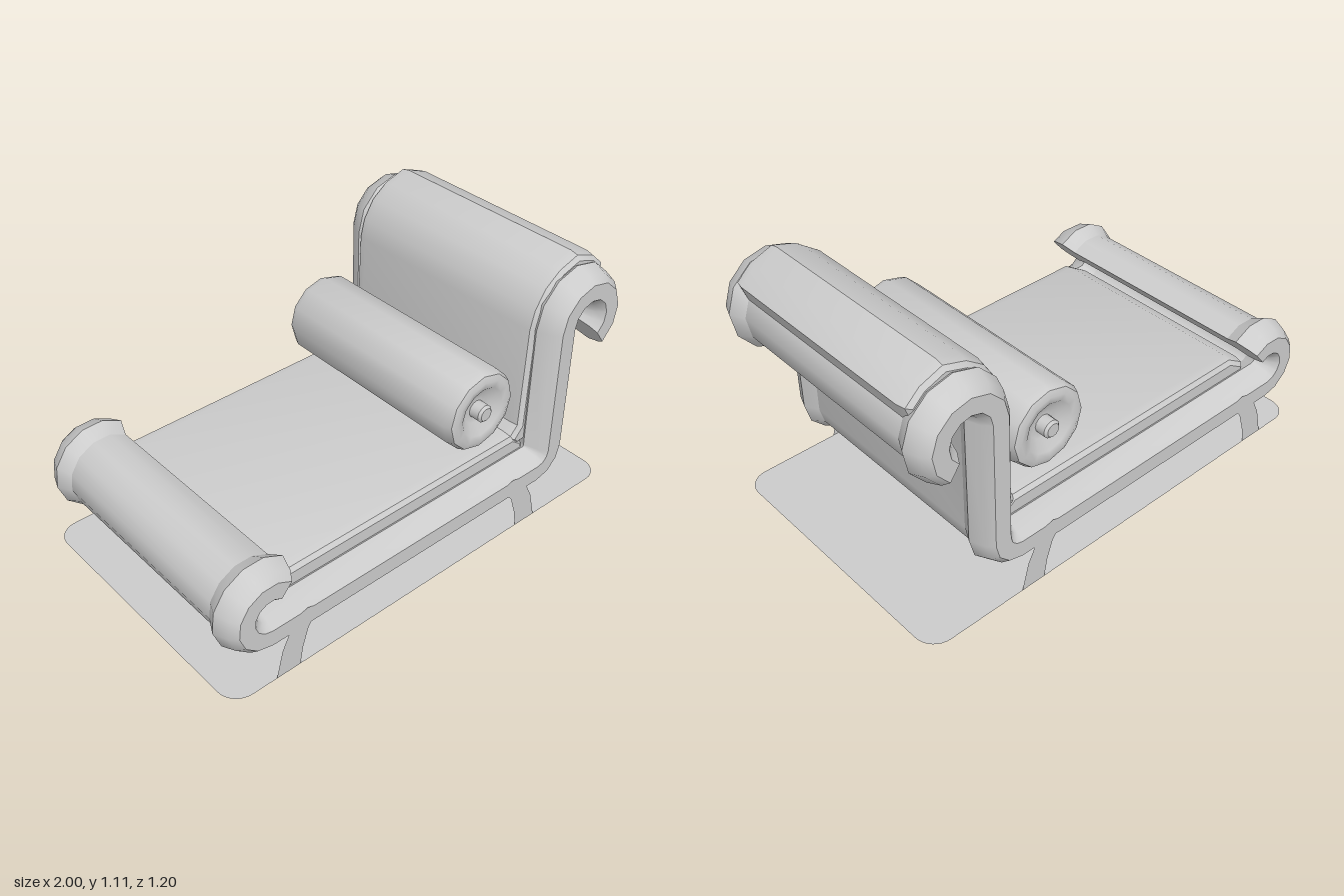
import * as THREE from 'three';
import { toCreasedNormals } from 'three/addons/utils/BufferGeometryUtils.js';

const grey = new THREE.MeshStandardMaterial({ color: 0xcccccc });
const thin = new THREE.MeshStandardMaterial({ color: 0xcccccc, side: THREE.DoubleSide });

// Points on an arc, each with the normal to the left of travel
function arc(cx, cy, r, from, to, steps) {
  const s = Math.sign(to - from), out = [];
  for (let i = 0; i <= steps; i++) {
    const a = THREE.MathUtils.degToRad(from + (to - from) * i / steps);
    const c = Math.cos(a), d = Math.sin(a);
    out.push({ x: cx + r * c, y: cy + r * d, nx: -s * c, ny: -s * d });
  }
  return out;
}

// Sweep a closed section of [offset, z] points along a path in the xy plane
function sweep(path, section) {
  const pos = [], idx = [], n = section.length, last = (path.length - 1) * n;
  for (const p of path)
    for (const [o, z] of section) pos.push(p.x + p.nx * o, p.y + p.ny * o, z);
  for (let j = 0; j < path.length - 1; j++)
    for (let i = 0; i < n; i++) {
      const a = j * n + i, b = j * n + (i + 1) % n;
      idx.push(a, b, a + n, b, b + n, a + n);
    }
  for (let i = 1; i < n - 1; i++) {
    idx.push(0, i + 1, i);
    idx.push(last, last + i, last + i + 1);
  }
  const g = new THREE.BufferGeometry();
  g.setAttribute('position', new THREE.Float32BufferAttribute(pos, 3));
  g.setIndex(idx);
  return toCreasedNormals(g, 0.62);
}

const toShape = (pts) => new THREE.Shape(pts.map(([x, y]) => new THREE.Vector2(x, y)));

// Cushion outline extruded across the width, with soft edges
function cushion(pts) {
  const g = new THREE.ExtrudeGeometry(toShape(pts), {
    depth: 0.9, bevelThickness: 0.05, bevelSize: 0.025, bevelOffset: -0.025, bevelSegments: 2,
  });
  g.translate(0, 0, -0.45);
  return toCreasedNormals(g, 0.6);
}

export function createModel() {
  const group = new THREE.Group();
  const add = (name, geometry, material = grey) => {
    const mesh = new THREE.Mesh(geometry, material);
    mesh.name = name;
    group.add(mesh);
    return mesh;
  };

  // Foot scroll, seat, corner, back and head scroll in one line
  const path = [
    ...arc(-0.81, 0.325, 0.108, 50, 270, 8),
    ...arc(0.565, 0.307, 0.09, -90, 0, 3),
    ...arc(0.785, 0.86, 0.128, 180, -55, 8),
  ];

  // Faceted side rails
  const rail = [
    [0.035, 0.6], [-0.035, 0.6], [-0.062, 0.57], [-0.085, 0.51],
    [-0.05, 0.445], [0.05, 0.445], [0.085, 0.51], [0.062, 0.57],
  ];
  add('frontRail', sweep(path, rail));
  add('backRail', sweep(path, rail.map(([o, z]) => [o, -z]).reverse()));

  // Upholstered panel between the rails
  add('framePanel', sweep(path, [[0.053, -0.47], [0.053, 0.47], [-0.053, 0.47], [-0.053, -0.47]]));

  // Seat cushion
  add('seatCushion', cushion([
    [-0.78, 0.24], [0.6, 0.24], [0.58, 0.33], [0.52, 0.375], [-0.69, 0.375], [-0.78, 0.32],
  ]));

  // Back cushion, folded over the head scroll
  add('backCushion', cushion([
    [0.49, 0.355], [0.54, 0.41], [0.555, 0.86], [0.575, 0.94], [0.625, 1.02], [0.7, 1.075],
    [0.8, 1.107], [0.9, 1.07], [0.965, 1.01], [0.94, 0.94], [0.87, 0.97], [0.785, 0.99],
    [0.7, 0.96], [0.655, 0.88], [0.65, 0.32], [0.53, 0.31],
  ]));

  // Bolster with dished ends and buttons
  const half = [
    [0.178, 0.45], [0.165, 0.48], [0.14, 0.49], [0.11, 0.485], [0.065, 0.45],
    [0.038, 0.45], [0.038, 0.495], [0.028, 0.505], [0, 0.505],
  ];
  const profile = [...half.map(([r, y]) => [r, -y]).reverse(), ...half]
    .map(([r, y]) => new THREE.Vector2(r, y));
  const bolster = add('bolster', toCreasedNormals(new THREE.LatheGeometry(profile, 12), 0.7));
  bolster.rotation.x = Math.PI / 2;
  bolster.position.set(0.33, 0.578, 0);

  // Flat splayed legs, mirrored end to end and side to side
  const leg = [
    [-0.8, 0], [-0.69, 0], [-0.676, 0.08], [-0.65, 0.16], [-0.62, 0.205], [-0.6, 0.23],
    [-0.615, 0.25], [-0.65, 0.262], [-0.69, 0.25], [-0.73, 0.2], [-0.77, 0.12],
  ];
  for (const [end, pts] of [['foot', leg], ['head', leg.map(([x, y]) => [-0.233 - x, y])]])
    for (const [side, z] of [['Front', 0.6], ['Back', -0.6]])
      add(`${end}${side}Leg`, new THREE.ShapeGeometry(toShape(pts)), thin).position.z = z;

  // Thin base sheet with rounded corners
  const base = new THREE.Shape(), r = 0.09;
  base.absarc(1 - r, 0.6 - r, r, 0, Math.PI / 2);
  base.absarc(-1 + r, 0.6 - r, r, Math.PI / 2, Math.PI);
  base.absarc(-1 + r, -0.6 + r, r, Math.PI, Math.PI * 1.5);
  base.absarc(1 - r, -0.6 + r, r, Math.PI * 1.5, Math.PI * 2);
  add('baseSheet', new THREE.ShapeGeometry(base, 4), thin).rotation.x = -Math.PI / 2;

  return group;
}
